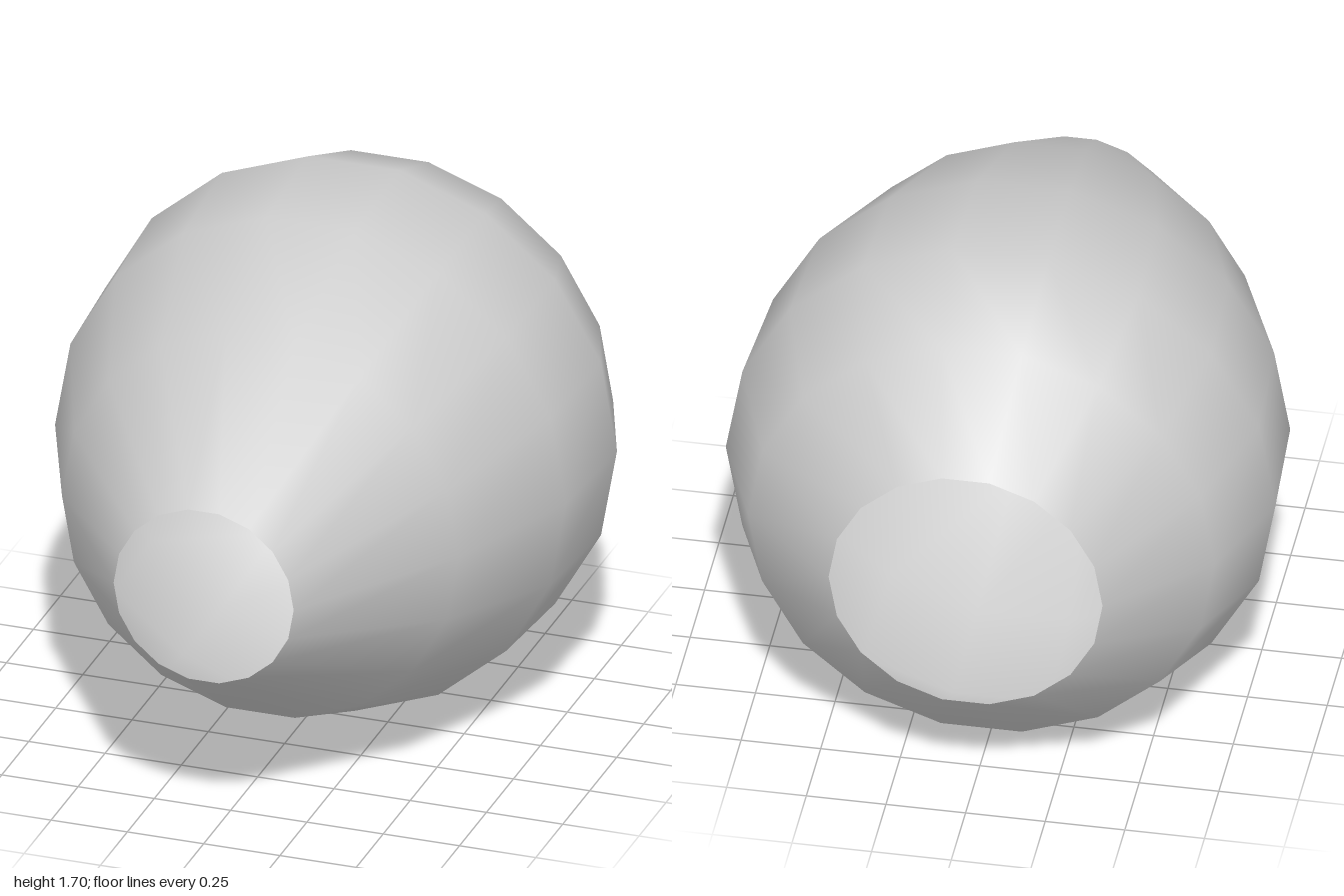
import * as THREE from 'three';

export function createModel() {
  const group = new THREE.Group();
  group.name = 'openShell';

  // Profile as [radius, z], from the wide back opening to the narrow front one
  const profile = [
    [0.43, -1], [0.732, -0.725], [0.863, -0.39],
    [0.837, 0.01], [0.65, 0.475], [0.295, 1],
  ].map(([r, z]) => new THREE.Vector2(r, z));

  // 18-sided smooth shell, open at both ends, lying along z
  const geometry = new THREE.LatheGeometry(profile, 18, Math.PI / 2);
  geometry.rotateX(Math.PI / 2);
  const material = new THREE.MeshStandardMaterial({ color: 0xcccccc, side: THREE.DoubleSide });
  const shell = new THREE.Mesh(geometry, material);
  shell.name = 'shell';
  shell.position.y = 0.863 * Math.cos(Math.PI / 18);
  group.add(shell);

  return group;
}
